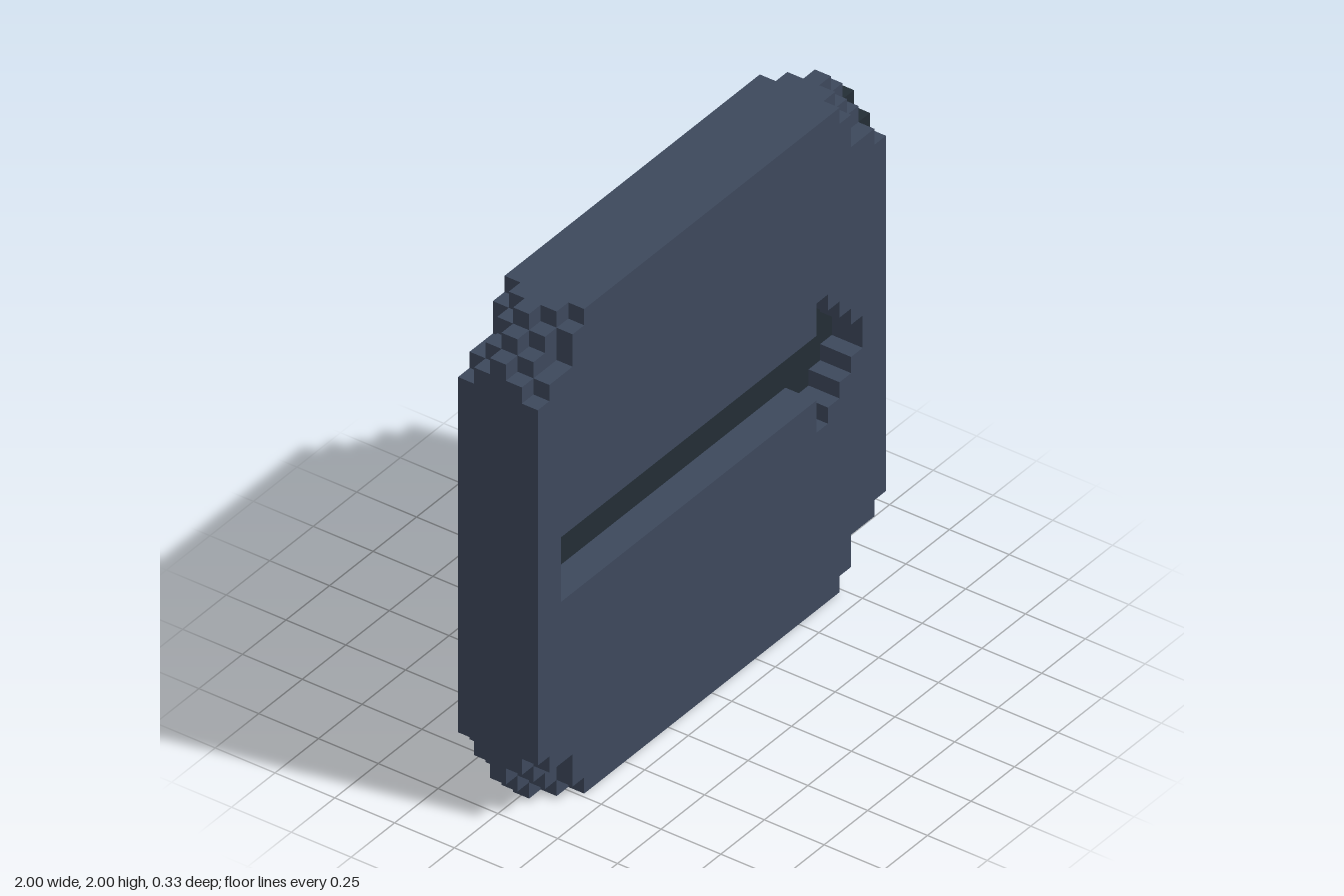
import * as THREE from 'three';

const N = 30;          // cells along each side
const U = 2 / N;       // size of one cell
const DEPTH = 5;       // layers from front to back

// Stepped corner (counter-clockwise), turned by quarter turns from the upper right.
function corner(cuts, turns) {
  const points = [];
  let last = 0;
  for (let row = cuts.length - 1; row >= 0; row--) {
    const y = N - row - 1;
    if (cuts[row] === last) continue;
    points.push([N - last, y], [N - cuts[row], y]);
    last = cuts[row];
  }
  points.push([N - last, N]);
  return points.map(([x, y]) => {
    for (let t = 0; t < turns; t++) [x, y] = [N - y, x];
    return [x, y];
  });
}

const toVectors = (points) => points.map(([x, y]) => new THREE.Vector2(x * U - 1, y * U));

// Extrude an outline forward from cell depth z.
function slab(name, points, z, thickness, material, hole) {
  const shape = new THREE.Shape(toVectors(points));
  if (hole) shape.holes.push(new THREE.Path(toVectors(hole)));
  const geometry = new THREE.ExtrudeGeometry(shape, { depth: thickness, bevelEnabled: false });
  const mesh = new THREE.Mesh(geometry, material);
  mesh.name = name;
  mesh.position.z = z;
  return mesh;
}

export function createModel() {
  const group = new THREE.Group();
  group.name = 'arrowTile';
  const slate = new THREE.MeshStandardMaterial({ color: 0x3d485c });
  slate.name = 'slate blue';
  const dark = new THREE.MeshStandardMaterial({ color: 0x232d35 });
  dark.name = 'dark slate';

  // Arrow outline: upper half, then mirrored to the lower half
  const half = [[28, 16], [27, 16], [27, 17], [26, 17], [26, 18], [25, 18], [25, 19], [24, 19], [24, 17], [2, 17]];
  const arrow = [...half, ...half.map(([x, y]) => [x, N - y]).reverse()];

  // Corner cuts per layer, front to back
  const outer = [4, 3, 3, 1], inner = [3, 2, 1], middle = [2, 1];
  const layers = [outer, inner, middle, inner, outer];

  layers.forEach((cuts, k) => {
    const z = (DEPTH / 2 - k - 1) * U;
    const hole = k < 2 ? arrow : undefined;
    const [tr, tl, bl, br] = [0, 1, 2, 3].map((t) => corner(cuts, t));

    if (k !== 1 && k !== 2) {
      group.add(slab('bodyLayer' + k, [...tr, ...tl, ...bl, ...br], z, U, slate, hole));
      return;
    }

    // The dark edging takes the bottom row, the lower corner and the side column
    const seam = [[4, 0], [4, 1], [26, 1], [26, 4], [29, 4]];
    group.add(slab('bodyLayer' + k, [...tr.slice(1), ...tl, ...bl, ...seam], z, U, slate, hole));
    group.add(slab('darkEdging' + k, [seam[0], ...br, tr[0], tr[1], ...seam.slice(1).reverse()], z, U, dark));
  });

  // Dark floor of the arrow recess
  group.add(slab('arrowFloor', arrow, 0.5 * U, 0.004, dark));
  return group;
}
